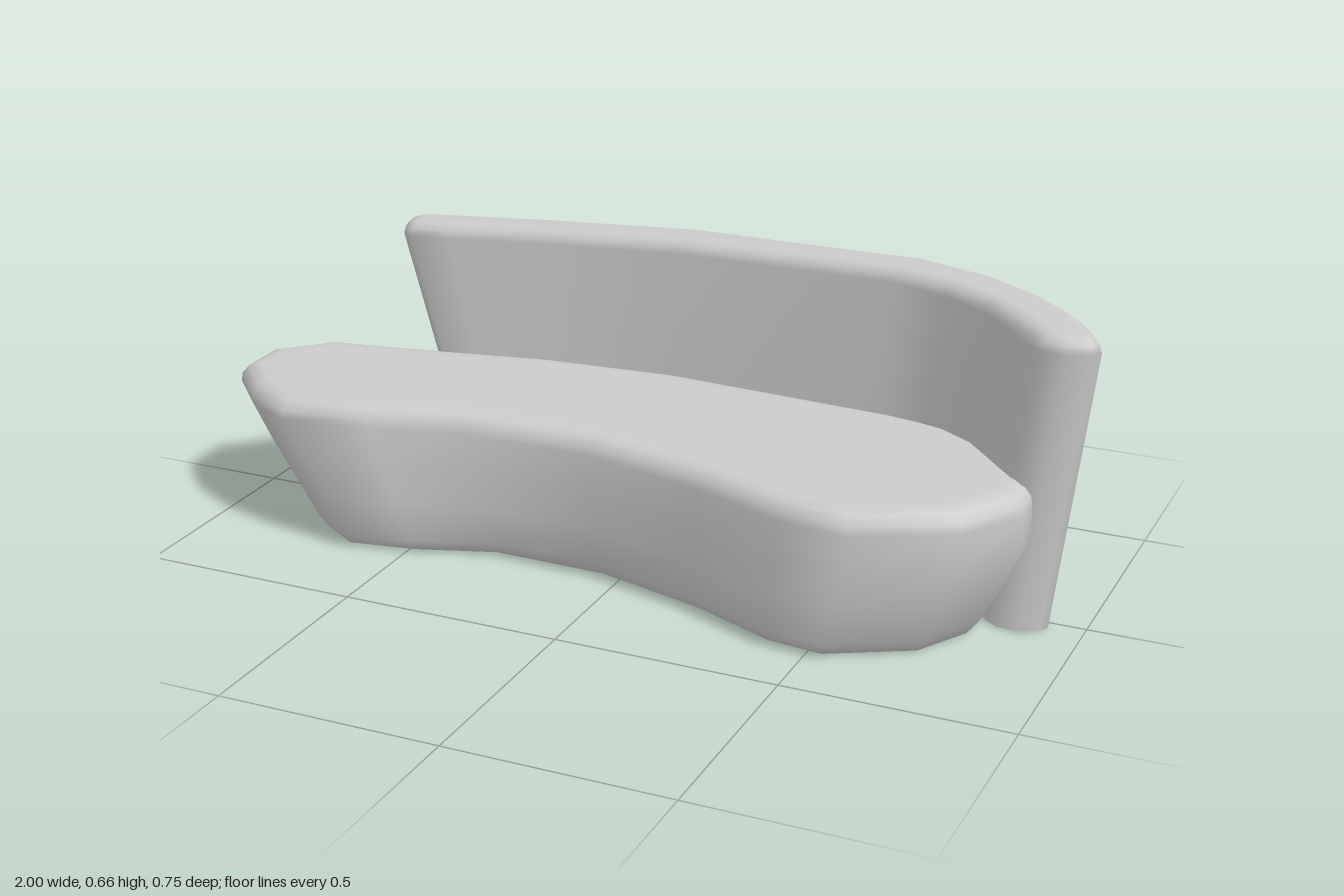
import * as THREE from 'three';

// Shrinks a plan outline [x, z] along its mitred normals
function inset(outline, amount) {
  const n = outline.length;
  const normal = (a, b) => new THREE.Vector2(a[1] - b[1], b[0] - a[0]).normalize();
  return outline.map((p, i) => {
    const n1 = normal(outline[(i + n - 1) % n], p);
    const n2 = normal(p, outline[(i + 1) % n]);
    const k = amount / (1 + n1.dot(n2));
    return [p[0] - (n1.x + n2.x) * k, p[1] - (n1.y + n2.y) * k];
  });
}

// Skins rings of [x, y, z] from bottom to top and caps the top; the base stays open
function loft(name, rings) {
  const n = rings[0].length;
  const index = [];
  for (let r = 0; r < rings.length - 1; r++) {
    for (let i = 0; i < n; i++) {
      const j = (i + 1) % n;
      const a = r * n + i, b = r * n + j, c = b + n, d = a + n;
      index.push(a, b, c, a, c, d);
    }
  }
  const last = (rings.length - 1) * n;
  const contour = rings[rings.length - 1].map(([x, , z]) => new THREE.Vector2(x, -z));
  for (const face of THREE.ShapeUtils.triangulateShape(contour, [])) {
    index.push(...face.map((i) => i + last));
  }
  const geometry = new THREE.BufferGeometry();
  geometry.setAttribute('position', new THREE.Float32BufferAttribute(rings.flat(2), 3));
  geometry.setIndex(index);
  geometry.computeVertexNormals();
  const mesh = new THREE.Mesh(geometry, new THREE.MeshStandardMaterial({
    color: 0xcccccc, side: THREE.DoubleSide,
  }));
  mesh.name = name;
  return mesh;
}

// Bean-shaped seat, tapering towards the floor at both ends
function createSeat() {
  const outline = [
    [-1, -0.02], [-1, 0.11], [-0.9, 0.22], [-0.78, 0.285], [-0.58, 0.255],
    [-0.37, 0.195], [-0.06, 0.2], [0.22, 0.27], [0.44, 0.355], [0.59, 0.37],
    [0.8, 0.265], [0.885, 0.13], [0.885, 0.05], [0.8, -0.1], [0.7, -0.18],
    [0.48, -0.22], [-0.06, -0.255], [-0.37, -0.23], [-0.62, -0.18], [-0.89, -0.13],
  ];
  // height, inset, left scale, right scale
  const levels = [
    [0, 0.035, 0.83, 0.91], [0.035, 0.005, 0.825, 0.91], [0.12, 0, 0.88, 0.955],
    [0.21, -0.005, 0.94, 0.995], [0.29, 0, 1, 1], [0.31, 0.003, 1, 1],
    [0.328, 0.018, 1, 1], [0.335, 0.04, 1, 1], [0.335, 0.07, 1, 1],
  ];
  return loft('seat', levels.map(([y, d, left, right]) =>
    inset(outline, d).map(([x, z]) => [x * (x < 0 ? left : right), y, z])));
}

// Curved backrest wrapping the left end, flaring outwards as it rises
function createBackrest() {
  const outline = [
    [-0.755, -0.26], [-0.745, -0.225], [-0.715, -0.205], [-0.62, -0.21],
    [-0.37, -0.24], [-0.06, -0.262], [0.47, -0.228], [0.6, -0.185], [0.72, -0.11],
    [0.81, -0.01], [0.86, 0.045], [0.89, 0.065], [0.935, 0.068], [0.985, 0.045],
    [0.998, 0.025], [0.95, -0.06], [0.9, -0.12], [0.8, -0.21], [0.68, -0.285],
    [0.5, -0.343], [-0.06, -0.378], [-0.4, -0.348], [-0.71, -0.31], [-0.74, -0.295],
  ];
  const topHeight = (x) => 0.661 - 0.04 * Math.pow(Math.max(0, (0.4 - x) / 1.15), 1.2);
  // drop below the top edge, inset
  const rim = [[0.035, 0], [0.017, 0.005], [0.005, 0.018], [0, 0.034]];
  const rimRings = rim.map(([drop, d]) =>
    inset(outline, d).map(([x, z]) => [x, topHeight(x) - drop, z]));
  const wallRings = [0, 0.5].map((t) => rimRings[0].map(([x, y, z]) => [
    x * THREE.MathUtils.lerp(x < 0 ? 0.76 : 0.925, 1, t),
    y * t,
    0.07 + (z - 0.07) * THREE.MathUtils.lerp(0.945, 1, t),
  ]));
  return loft('backrest', [...wallRings, ...rimRings]);
}

export function createModel() {
  const sofa = new THREE.Group();
  sofa.name = 'curvedSofa';
  sofa.add(createSeat(), createBackrest());
  return sofa;
}
